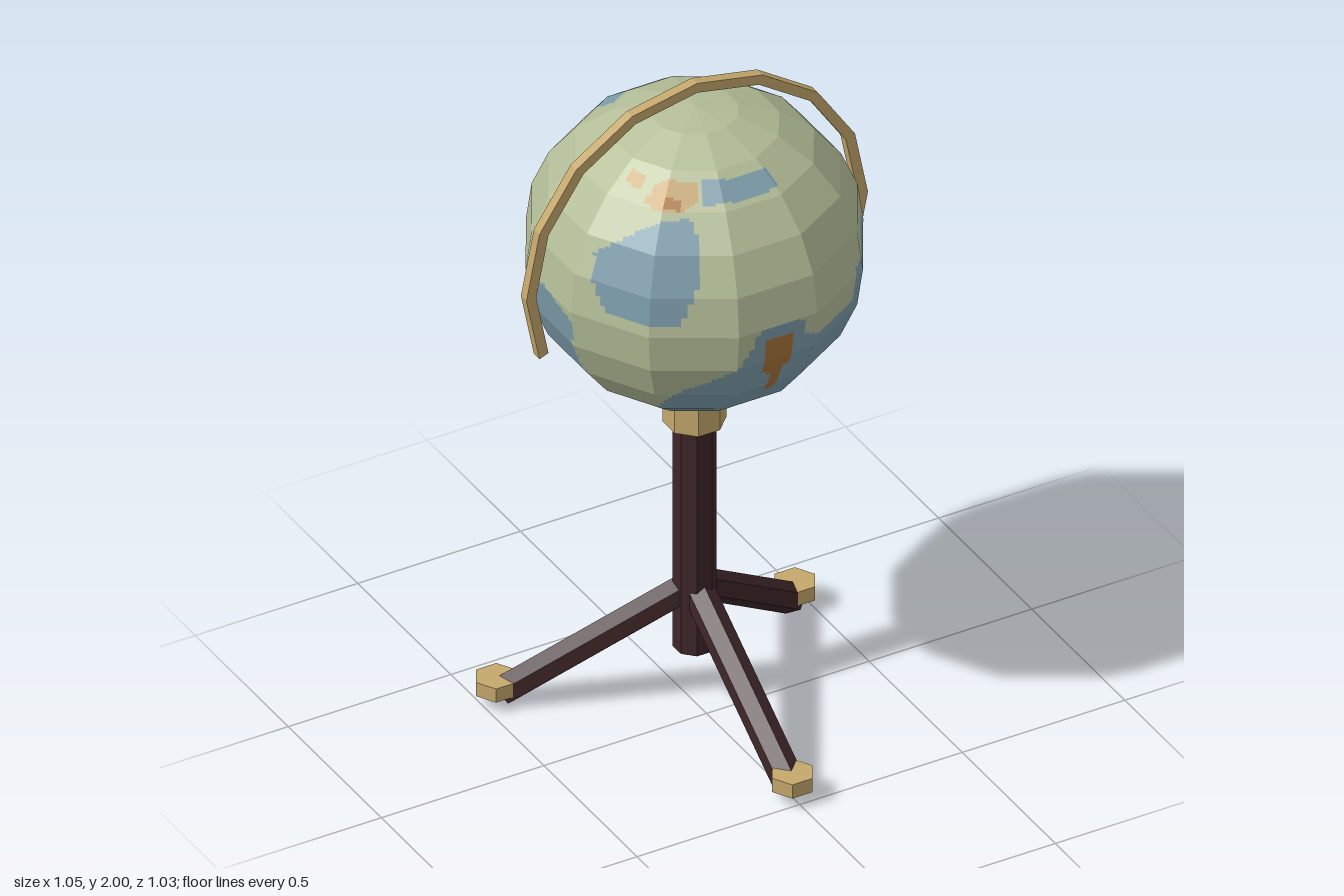
import * as THREE from 'three';

const AXIS_Z = -0.065, GLOBE_Y = 1.475;

const mat = (name, color) => {
  const m = new THREE.MeshStandardMaterial({ color, flatShading: true });
  m.name = name;
  return m;
};

// Map outlines as [longitude, latitude] in degrees; longitude 0 faces the front.
const OCEANS = [
  [[-38, -30], [-20, -19], [-11, -10], [-7, 0], [9.5, 0], [11, -6.5], [19, -10.5], [40, -11], [40, 3], [55, 6],
    [68, 6], [75, -2], [79, -11], [87, -17], [98, -10], [101, 0], [115, 5], [124, 14], [118, 25], [120, 38],
    [119, 45], [108, 46], [108, 54], [150, 55], [209, 55], [205, 42], [211, 30], [213, 27], [223, 20], [224, 0],
    [262, -4], [265, 1], [285, -4], [282, -30], [285, -50], [285, -90], [-75, -90], [-75, -55], [-56, -57], [-48, -45]],
  [[-32, 43], [-27, 34], [-29, 17], [-35, 4], [-62, 4], [-68, 14], [-70, 24], [-59, 33], [-47, 40]],
  [[-25, 47], [18, 47], [18, 55], [-25, 56]],
];
const LANDS = [
  [[133, -1], [132, 3], [140, 8], [160, 12], [169, -5], [171, -29], [164, -41], [128, -45], [108, -45],
    [107, -32], [117, -20], [124, -11], [133, -10]],
  [[55, -52], [70, -47], [105, -46], [105, -62], [55, -60]],
  [[167, -40], [185, -42], [192, -52], [172, -53]],
];
const HIGHLANDS = [
  [[-55, 46], [-48, 44], [-34, 45], [-27, 49], [-28, 55], [-46, 56], [-54, 52]],
  [[-71, 51], [-61, 50], [-60, 55], [-70, 56]],
  [[146, 53], [146, 46], [134, 41], [125, 44], [123, 53]],
];
const MOUNTAINS = [
  [[-4, -6], [0, -5], [6, -5.5], [6, -20], [4, -22], [5, -36], [-1, -34], [0, -24], [-4, -21]],
  [[138, 2], [146, 2], [154, -1], [162, -2], [162, -6], [155, -9], [146, -9], [146, -6], [138, -5]],
  [[-45, 45], [-37, 45], [-37, 49], [-45, 49]],
];

function inside(poly, x, y) {
  let hit = false;
  for (let i = 0, j = poly.length - 1; i < poly.length; j = i++) {
    const [xi, yi] = poly[i], [xj, yj] = poly[j];
    if ((yi > y) !== (yj > y) && x < ((xj - xi) * (y - yi)) / (yj - yi) + xi) hit = !hit;
  }
  return hit;
}

// Index of the colour: 0 land, 1 ocean, 2 highland, 3 mountain
function terrain(p) {
  let lon = THREE.MathUtils.radToDeg(Math.atan2(p.x, p.z));
  const lat = THREE.MathUtils.radToDeg(Math.atan2(p.y, Math.hypot(p.x, p.z)));
  if (lon < -75) lon += 360;
  const any = (list) => list.some((poly) => inside(poly, lon, lat));
  if (any(MOUNTAINS)) return 3;
  if (any(HIGHLANDS)) return 2;
  if (any(LANDS)) return 0;
  return any(OCEANS) ? 1 : 0;
}

// Twelve by twelve flat facets, each divided into small cells that take the map colours
function globeGeometry() {
  const SEG = 12, CELLS = 14, R = 0.466, H = 0.447;
  const buckets = [[], [], [], []];
  const corner = (i, j) => {
    const lon = ((i * 30 + 15) * Math.PI) / 180, t = (j * Math.PI) / SEG;
    return new THREE.Vector3(R * Math.sin(t) * Math.sin(lon), H * Math.cos(t), R * Math.sin(t) * Math.cos(lon));
  };
  for (let i = 0; i < SEG; i++) for (let j = 0; j < SEG; j++) {
    const a = corner(i, j), b = corner(i + 1, j), c = corner(i, j + 1), d = corner(i + 1, j + 1);
    const at = (u, v) => a.clone().lerp(b, u).lerp(c.clone().lerp(d, u), v);
    for (let m = 0; m < CELLS; m++) for (let n = 0; n < CELLS; n++) {
      const u0 = m / CELLS, u1 = (m + 1) / CELLS, v0 = n / CELLS, v1 = (n + 1) / CELLS;
      const p = at(u0, v0), q = at(u1, v0), r = at(u0, v1), s = at(u1, v1);
      const out = buckets[terrain(at((u0 + u1) / 2, (v0 + v1) / 2))];
      const tris = [];
      if (!(j === SEG - 1 && n === CELLS - 1)) tris.push(r, s, q);
      if (!(j === 0 && n === 0)) tris.push(r, q, p);
      for (const k of tris) out.push(k.x, k.y, k.z);
    }
  }
  const g = new THREE.BufferGeometry();
  let start = 0;
  buckets.forEach((list, k) => {
    g.addGroup(start, list.length / 3, k);
    start += list.length / 3;
  });
  g.setAttribute('position', new THREE.Float32BufferAttribute(buckets.flat(), 3));
  g.computeVertexNormals();
  return g;
}

export function createModel() {
  const root = new THREE.Group();
  root.name = 'globeOnTripod';
  const wood = mat('dark wood', 0x3e2628), brass = mat('brass', 0xc4a76c);
  const map = [mat('land', 0xb4be98), mat('ocean', 0x7d9dab), mat('highland', 0xc2a26c), mat('mountain', 0xa8743a)];

  const add = (name, geo, material, x, y, z) => {
    const m = new THREE.Mesh(geo, material);
    m.name = name;
    m.position.set(x, y, z);
    root.add(m);
    return m;
  };
  const prism = (r, h, sides, turn = 0) => new THREE.CylinderGeometry(r, r, h, sides).rotateY(turn);

  add('globe', globeGeometry(), map, 0, GLOBE_Y, AXIS_Z);

  // Meridian arc: ten straight pieces, open at the bottom
  const arc = new THREE.Shape();
  const STEP = Math.PI / 8;
  for (let i = 0; i <= 21; i++) {
    const outer = i <= 10;
    const a = (outer ? i - 5 : 16 - i) * STEP, r = outer ? 0.525 : 0.495;
    arc[i ? 'lineTo' : 'moveTo'](r * Math.sin(a), r * Math.cos(a));
  }
  const arcGeo = new THREE.ExtrudeGeometry(arc, { depth: 0.03, bevelEnabled: false }).translate(0, 0, -0.015);
  add('meridianArc', arcGeo, brass, 0, GLOBE_Y, AXIS_Z);

  // Central post and collar
  add('post', prism(0.059, 0.74, 8, Math.PI / 8), wood, 0, 0.555, AXIS_Z);
  add('collar', prism(0.086, 0.1, 8, Math.PI / 8), brass, 0, 0.96, AXIS_Z);

  // Three sloping legs with hexagonal feet
  const up = new THREE.Vector3(0, 1, 0);
  ['front', 'left', 'right'].forEach((side, i) => {
    const a = (i * Math.PI * 2) / 3, sx = Math.sin(a), cz = Math.cos(a);
    const top = new THREE.Vector3(0, 0.385, AXIS_Z);
    const end = new THREE.Vector3(sx * 0.51, 0.036, AXIS_Z + cz * 0.51);
    const dir = top.clone().sub(end);
    const mid = top.clone().add(end).multiplyScalar(0.5);
    const leg = add(side + 'Leg', prism(0.044, dir.length(), 6), wood, mid.x, mid.y, mid.z);
    // Rolled so that every leg shows the same faces
    const slope = new THREE.Quaternion().setFromUnitVectors(up, new THREE.Vector3(0, dir.y, -Math.hypot(dir.x, dir.z)).normalize());
    leg.quaternion.setFromAxisAngle(up, a).multiply(slope);
    add(side + 'Foot', prism(0.062, 0.044, 6, Math.PI / 6), brass, sx * 0.53, 0.06, AXIS_Z + cz * 0.526);
  });
  return root;
}
